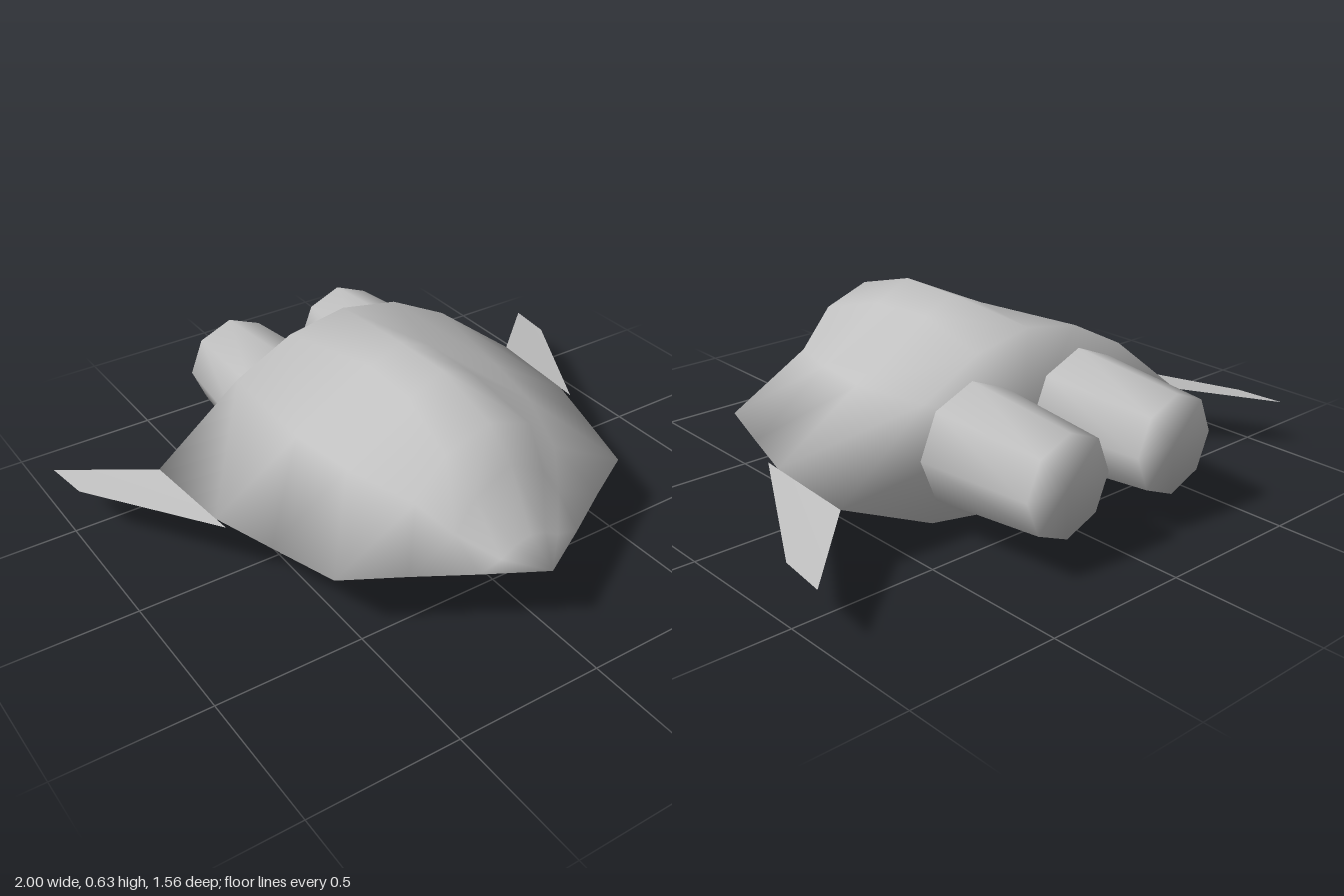
import * as THREE from 'three';
import { mergeVertices } from 'three/addons/utils/BufferGeometryUtils.js';

const RIM_Y = 0.22;

// Weld the corners so that shading runs smoothly over every edge
function smooth(geometry) {
  geometry.deleteAttribute('normal');
  geometry.deleteAttribute('uv');
  const welded = mergeVertices(geometry, 1e-4);
  welded.computeVertexNormals();
  return welded;
}

function surface(positions, index) {
  const g = new THREE.BufferGeometry();
  g.setAttribute('position', new THREE.Float32BufferAttribute(positions, 3));
  g.setIndex(index);
  return g;
}

// Hull lofted through cross-sections from nose to tail
function hullGeometry() {
  // z, crown y, ridge [x, y], shoulder [x, y], rim x, chine [x, y], keel y
  const stations = [
    [0.78, 0.22, [0, 0.22], [0, 0.22], 0, [0, 0.22], 0.22],
    [0.67, 0.285, [0.06, 0.27], [0.11, 0.24], 0.19, [0.05, 0.18], 0.175],
    [0.56, 0.48, [0.13, 0.405], [0.2, 0.3], 0.37, [0.08, 0.135], 0.129],
    [0.45, 0.568, [0.16, 0.51], [0.27, 0.38], 0.56, [0.1, 0.098], 0.092],
    [0.21, 0.635, [0.13, 0.575], [0.36, 0.405], 0.635, [0.23, 0.088], 0.066],
    [-0.02, 0.63, [0.12, 0.58], [0.4, 0.415], 0.705, [0.31, 0.078], 0.042],
    [-0.37, 0.605, [0.21, 0.567], [0.42, 0.46], 0.73, [0.39, 0.065], 0],
  ];
  const positions = [];
  const index = [];
  for (const [z, crown, ridge, shoulder, rim, chine, keel] of stations) {
    const half = [ridge, shoulder, [rim, RIM_Y], chine];
    const mirrored = half.map(([x, y]) => [-x, y]).reverse();
    for (const [x, y] of [[0, crown], ...half, [0, keel], ...mirrored]) positions.push(x, y, z);
  }
  const n = 10;
  for (let i = 0; i < stations.length - 1; i++) {
    for (let j = 0; j < n; j++) {
      const a = i * n + j, b = i * n + (j + 1) % n;
      // Diagonals mirror across the middle
      if (j < n / 2) index.push(a, b, a + n, b, b + n, a + n);
      else index.push(a, b, b + n, a, b + n, a + n);
    }
  }
  // Flat tail
  const last = (stations.length - 1) * n;
  const centre = positions.length / 3;
  positions.push(0, 0.28, -0.37);
  for (let j = 0; j < n; j++) index.push(centre, last + j, last + (j + 1) % n);
  return smooth(surface(positions, index));
}

export function createModel() {
  const model = new THREE.Group();
  const grey = new THREE.MeshStandardMaterial({ color: 0xc0c0c0, side: THREE.DoubleSide });
  grey.name = 'hull grey';

  const add = (name, geometry) => {
    const mesh = new THREE.Mesh(geometry, grey);
    mesh.name = name;
    model.add(mesh);
    return mesh;
  };

  add('hull', hullGeometry());

  for (const [side, s] of [['left', 1], ['right', -1]]) {
    // Tapered eight-sided engine
    const engine = new THREE.CylinderGeometry(0.204, 0.166, 0.41, 8);
    engine.rotateX(Math.PI / 2);
    add(side + 'Engine', smooth(engine)).position.set(s * 0.23, 0.282, -0.575);

    // Thin swept wing
    const corners = [[0.7, RIM_Y, 0.04], [0.98, 0.178, -0.46], [1, 0.175, -0.63], [0.73, RIM_Y, -0.37]];
    const order = s > 0 ? [0, 1, 2, 0, 2, 3] : [0, 2, 1, 0, 3, 2];
    const wing = surface(corners.flatMap(([x, y, z]) => [s * x, y, z]), order);
    wing.computeVertexNormals();
    add(side + 'Wing', wing);
  }
  return model;
}
